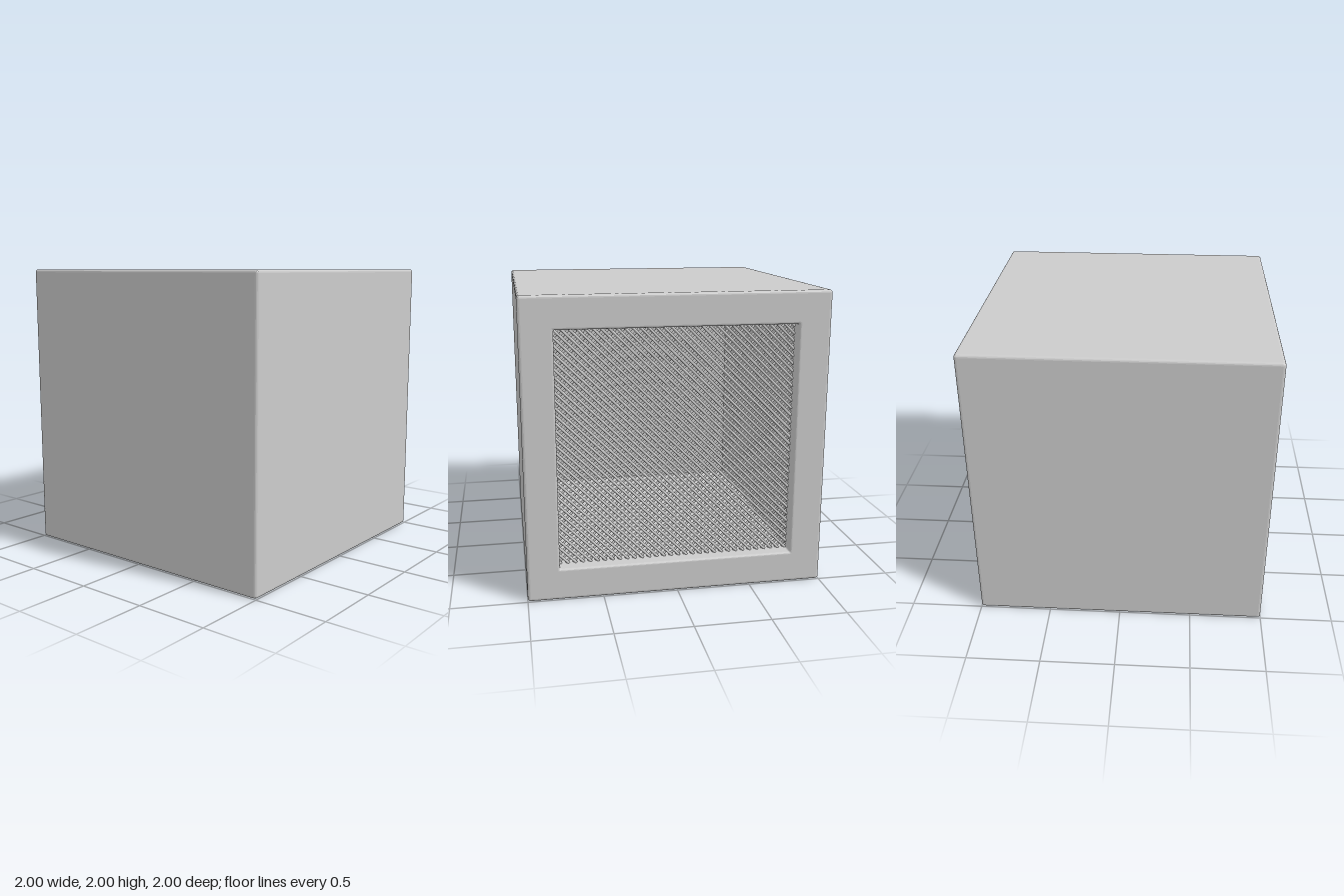
import * as THREE from 'three';
import { mergeGeometries } from 'three/addons/utils/BufferGeometryUtils.js';

const ARC = 4; // segments per rounded edge

// Rounded square ring in the y/z plane, at the given x
function ring(x, half, radius) {
  const points = [];
  for (let corner = 0; corner < 4; corner++) {
    const mid = Math.PI / 4 + corner * Math.PI / 2;
    const cy = Math.sign(Math.cos(mid)) * (half - radius);
    const cz = Math.sign(Math.sin(mid)) * (half - radius);
    for (let i = 0; i <= ARC; i++) {
      const a = corner * Math.PI / 2 + (i / ARC) * Math.PI / 2;
      points.push([x, cy + radius * Math.cos(a), cz + radius * Math.sin(a)]);
    }
  }
  return points;
}

// Skin joining successive rings
function skin(rings) {
  const n = rings[0].length, index = [];
  for (let i = 0; i < rings.length - 1; i++) {
    for (let j = 0; j < n; j++) {
      const k = (j + 1) % n;
      const a = i * n + j, b = i * n + k, c = (i + 1) * n + k, d = (i + 1) * n + j;
      index.push(a, b, c, a, c, d);
    }
  }
  const geometry = new THREE.BufferGeometry();
  geometry.setAttribute('position', new THREE.Float32BufferAttribute(rings.flat(2), 3));
  geometry.setIndex(index);
  geometry.computeVertexNormals();
  return geometry;
}

export function createModel() {
  const group = new THREE.Group();
  const grey = new THREE.MeshStandardMaterial({ color: 0xcccccc });
  const faceted = new THREE.MeshStandardMaterial({ color: 0xcccccc, flatShading: true });
  const edge = 0.02, lip = 0.015, inner = 0.785;

  // Hollow cube: closed back, rounded outer edges, window lip, then the cavity
  const rings = [ring(-1, 0, 0)];
  for (const side of [-1, 1]) {
    for (let i = 0; i <= ARC; i++) {
      const t = (i / ARC) * Math.PI / 2;
      const a = side < 0 ? t - Math.PI / 2 : t;
      const r = edge * Math.cos(a);
      rings.push(ring(side * (1 - edge) + edge * Math.sin(a), 1 - edge + r, r));
    }
  }
  for (let i = 0; i <= ARC; i++) {
    const a = (i / ARC) * Math.PI / 2;
    rings.push(ring(1 - lip + lip * Math.cos(a), inner + lip * (1 - Math.sin(a)), 0.01));
  }
  rings.push(ring(-0.8, inner, 0.01), ring(-0.8, 0, 0));
  const body = new THREE.Mesh(skin(rings), faceted);
  body.name = 'hollowCase';
  body.position.y = 1;
  group.add(body);

  // Wire grille: two layers of crossing diagonal wires set back in the window
  const pitch = 0.05, wire = 0.009, wires = [];
  for (const s of [-1, 1]) {
    for (let c = -2 * inner + pitch / 2; c < 2 * inner; c += pitch) {
      const length = Math.SQRT2 * (2 * inner - Math.abs(c));
      const g = new THREE.CylinderGeometry(wire, wire, length, 8, 1, true);
      g.rotateX(s * Math.PI / 4);
      g.translate(0.9 + s * wire * 0.7, 1 - s * c / 2, c / 2);
      wires.push(g);
    }
  }
  const grille = new THREE.Mesh(mergeGeometries(wires), grey);
  grille.name = 'wireGrille';
  group.add(grille);

  return group;
}
